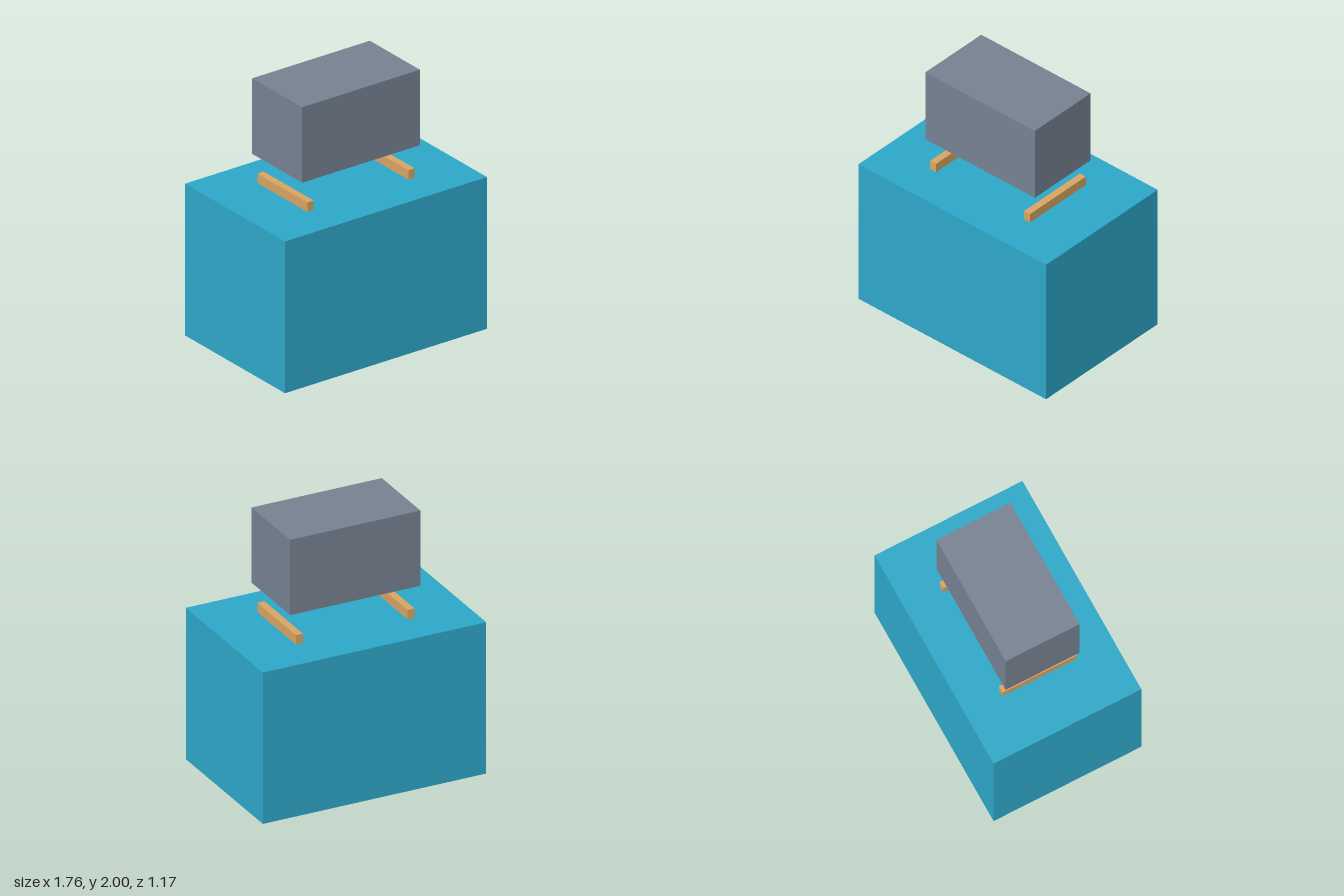
import * as THREE from 'three';

function block(name, color, [w, h, d], [x, bottom, z]) {
  const mesh = new THREE.Mesh(
    new THREE.BoxGeometry(w, h, d),
    new THREE.MeshStandardMaterial({ color })
  );
  mesh.name = name;
  mesh.position.set(x, bottom + h / 2, z);
  return mesh;
}

export function createModel() {
  const model = new THREE.Group();
  model.name = 'model';

  // Large base block
  model.add(block('base', 0x2ea8c9, [1.76, 1.176, 1.173], [0, 0, 0]));

  // Pair of rails lying on the base, running front to back
  for (const [name, side] of [['leftRail', 1], ['rightRail', -1]]) {
    model.add(block(name, 0xd9a562, [0.055, 0.073, 0.587], [side * 0.44, 1.176, 0]));
  }

  // Block floating above the rails
  model.add(block('upperBlock', 0x778292, [1.026, 0.585, 0.587], [0, 1.415, 0]));

  return model;
}
